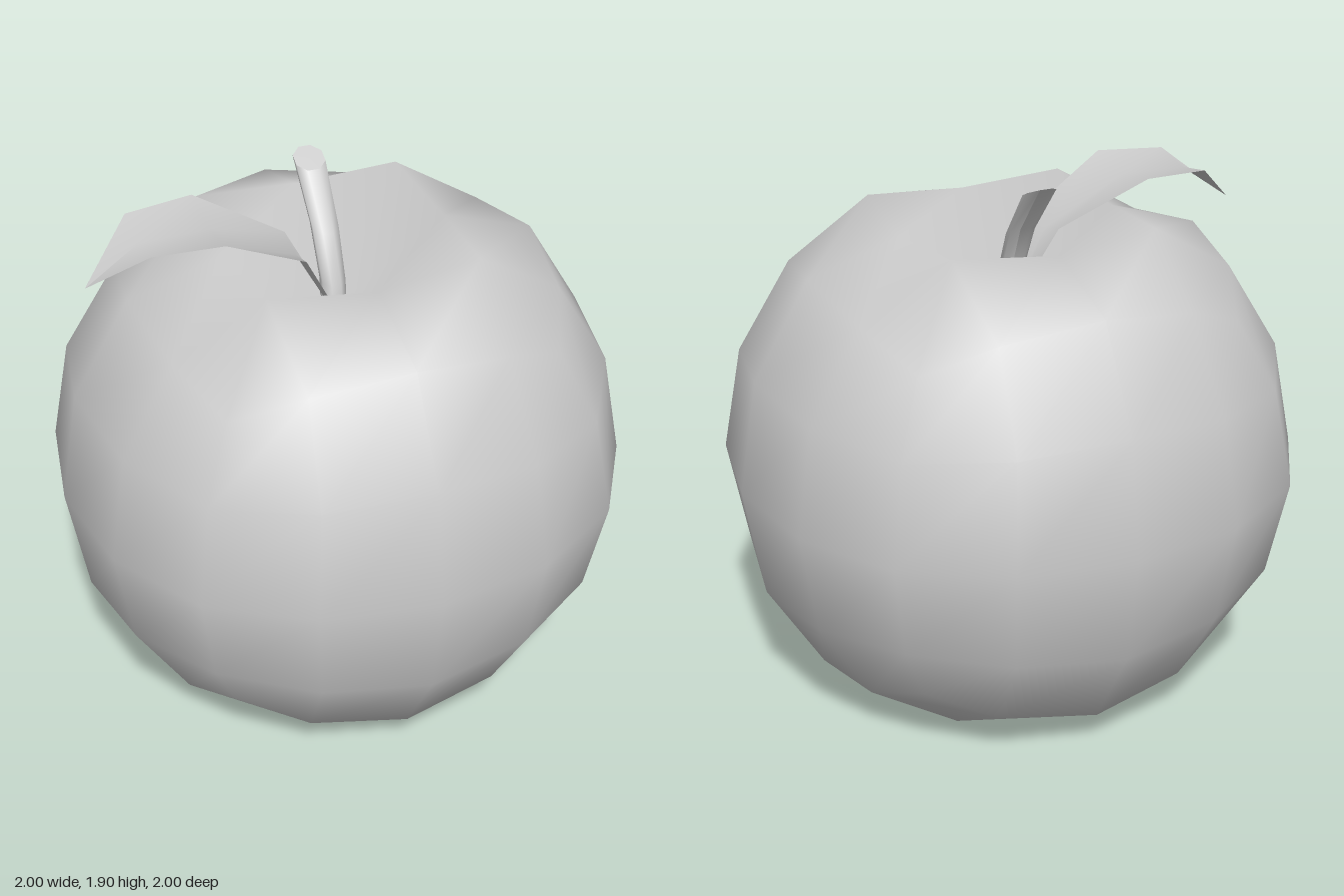
import * as THREE from 'three';
import { mergeVertices } from 'three/addons/utils/BufferGeometryUtils.js';

const material = (side = THREE.FrontSide) => new THREE.MeshStandardMaterial({ color: 0xcccccc, side });

// Skin rows of points (all the same length) with quads
function skin(rows) {
  const n = rows[0].length, index = [];
  for (let r = 0; r < rows.length - 1; r++) {
    for (let c = 0; c < n - 1; c++) {
      const a = r * n + c, b = a + 1, d = a + n, e = d + 1;
      index.push(a, d, b, b, d, e);
    }
  }
  const g = new THREE.BufferGeometry();
  g.setAttribute('position', new THREE.Float32BufferAttribute(rows.flat(2), 3));
  g.setIndex(index);
  return g;
}

// Fruit: a rounded, subdivided cube with a dent at the top and bottom.
// Keys are the grid steps of a point, largest first; values are the rounded coordinates.
const ROUNDED = {
  '200': { 2: 1, 0: 0 },
  '210': { 2: 0.933, 1: 0.4, 0: 0 },
  '220': { 2: 0.732, 0: 0 },
  '211': { 2: 0.87, 1: 0.371 },
  '221': { 2: 0.682, 1: 0.344 },
  '222': { 2: 0.58 },
};

function fruitGeometry() {
  let g = new THREE.BoxGeometry(4, 4, 4, 4, 4, 4);
  g.deleteAttribute('normal');
  g.deleteAttribute('uv');
  g = mergeVertices(g);
  const p = g.attributes.position;
  for (let i = 0; i < p.count; i++) {
    const step = [p.getX(i), p.getY(i), p.getZ(i)].map(Math.round);
    const key = step.map(Math.abs).sort().reverse().join('');
    const [x, y, z] = step.map((s) => Math.sign(s) * ROUNDED[key][Math.abs(s)]);
    let h = y;
    if (Math.abs(step[1]) === 2) {
      const spread = Math.abs(step[0]) + Math.abs(step[2]);
      if (spread === 0) h = Math.sign(y) * 0.55;
      if (spread === 1) h = Math.sign(y) * 0.838;
    }
    p.setXYZ(i, x, h + 0.87, z);
  }
  g.computeVertexNormals();
  return g;
}

// Stem: eight-sided rings along a bent centre line [y, z, radius, tilt]
const STEM = [[1.38, 0, 0.045, 0], [1.53, -0.02, 0.045, 0.25], [1.7, -0.1, 0.05, 0.45], [1.88, -0.247, 0.057, 0.45]];

function stemRing([y, z, r, tilt]) {
  return Array.from({ length: 9 }, (_, i) => {
    const a = (i + 0.5) * Math.PI / 4, w = -r * Math.cos(a);
    return [r * Math.sin(a), y + w * -Math.sin(tilt), z + w * Math.cos(tilt)];
  });
}

// Leaf: folded cross-sections from base to tip [x, edge y, middle y, half width]
const LEAF = [[-0.01, 1.44, 1.42, 0.055], [-0.14, 1.69, 1.66, 0.11], [-0.44, 1.85, 1.815, 0.187],
  [-0.68, 1.84, 1.81, 0.155], [-0.865, 1.68, 1.68, 0.002]];

export function createModel() {
  const model = new THREE.Group();
  const add = (name, geometry, side, parent = model) => {
    const mesh = new THREE.Mesh(geometry, material(side));
    mesh.name = name;
    parent.add(mesh);
    return mesh;
  };

  add('fruit', fruitGeometry());

  // Stem with a flat cut end
  const stem = new THREE.Group();
  stem.name = 'stem';
  model.add(stem);
  const bark = skin(STEM.map(stemRing));
  bark.computeVertexNormals();
  add('stemBark', bark, THREE.DoubleSide, stem);
  const end = STEM[STEM.length - 1];
  const cut = skin([stemRing(end), Array(9).fill([0, end[0], end[1]])]);
  cut.computeVertexNormals();
  add('stemCut', cut, THREE.DoubleSide, stem);

  const leaf = skin(LEAF.map(([x, edge, mid, w]) => [[x, edge, w], [x, mid, 0], [x, edge, -w]]));
  leaf.computeVertexNormals();
  // Keep the leaf's shading facing up
  if (leaf.attributes.normal.getY(7) < 0) {
    leaf.setIndex([...leaf.index.array].reverse());
    leaf.computeVertexNormals();
  }
  add('leaf', leaf, THREE.DoubleSide);

  return model;
}
